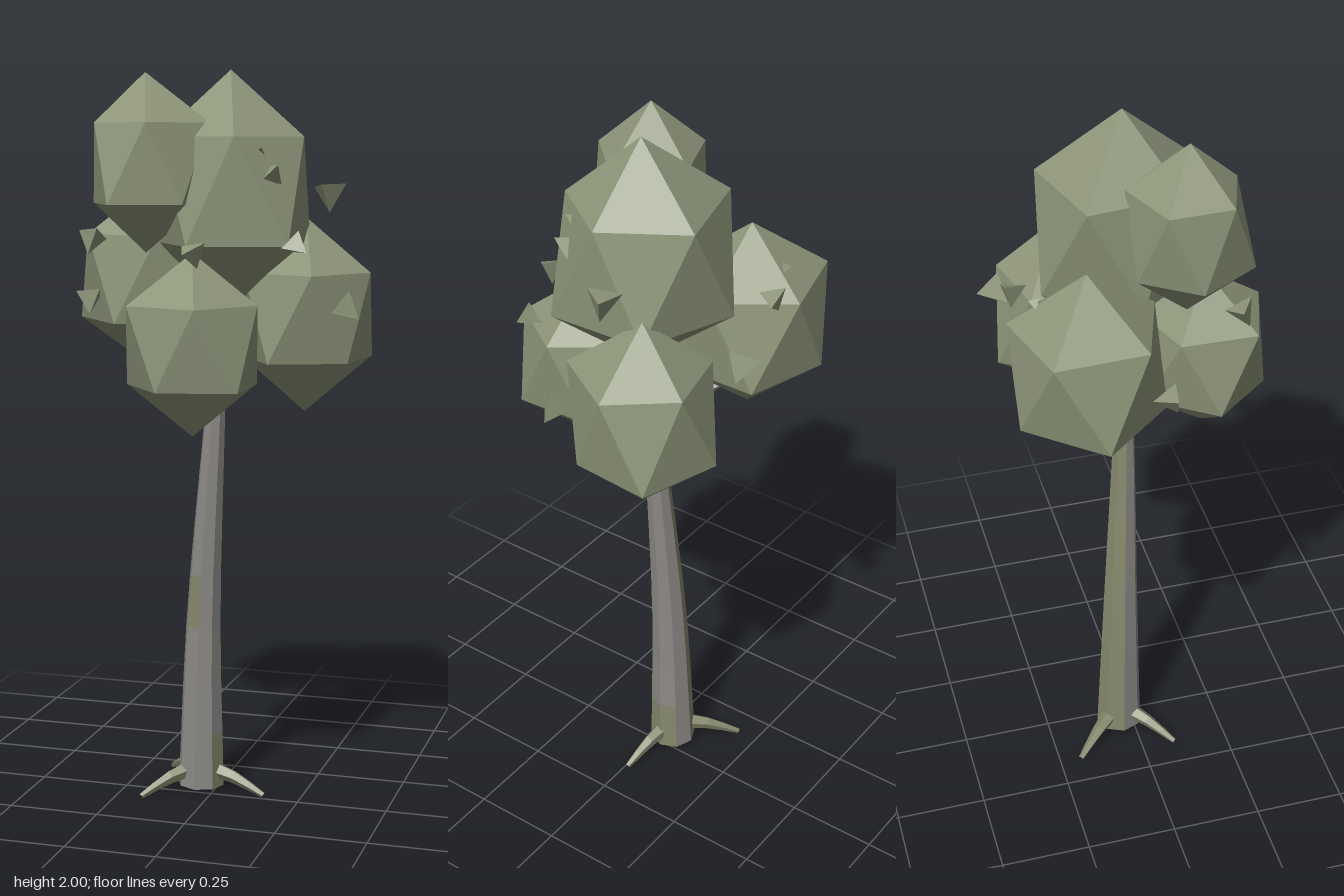
import * as THREE from 'three';
import { ConvexGeometry } from 'three/addons/geometries/ConvexGeometry.js';

const material = (name, color) => {
  const m = new THREE.MeshStandardMaterial({ color });
  m.name = name;
  return m;
};
const V = (x, y, z) => new THREE.Vector3(x, y, z);

// Faceted tube along a path, tapering from r0 to r1
function limb(points, r0, r1, segments, sides) {
  const curve = new THREE.CatmullRomCurve3(points.map(p => V(...p)));
  const tube = new THREE.TubeGeometry(curve, segments, 1, sides);
  const pos = tube.attributes.position;
  const v = V(0, 0, 0);
  for (let i = 0; i < pos.count; i++) {
    const t = Math.floor(i / (sides + 1)) / segments;
    const c = curve.getPointAt(t);
    v.fromBufferAttribute(pos, i).sub(c).multiplyScalar(r0 + (r1 - r0) * t).add(c);
    pos.setXYZ(i, v.x, v.y, v.z);
  }
  const flat = tube.toNonIndexed();
  flat.computeVertexNormals();
  return flat;
}

// Twelve-cornered leaf clump: apex, five-point upper ring, five-point lower ring, base
function clumpGeometry(h, upper, lower) {
  const points = [V(0, h, 0), V(0, -h, 0)];
  for (let i = 0; i < 5; i++) {
    const a = i * Math.PI * 0.4, b = a + Math.PI * 0.2;
    points.push(V(Math.cos(a) * upper[i], h * 0.447, Math.sin(a) * upper[i]));
    points.push(V(Math.cos(b) * lower[i], -h * 0.447, Math.sin(b) * lower[i]));
  }
  return new ConvexGeometry(points);
}

export function createModel() {
  const tree = new THREE.Group();
  tree.name = 'tree';
  const bark = material('bark grey', 0x8c8985);
  const moss = material('moss', 0x85876c);
  const foliage = material('foliage green', 0x8c9478);

  const add = (name, geometry, mat) => {
    const mesh = new THREE.Mesh(geometry, mat);
    mesh.name = name;
    tree.add(mesh);
    return mesh;
  };

  // Trunk, with mossy faces on its shaded back and a patch at the foot
  const trunk = limb([[-0.04, 0.02, -0.04], [-0.03, 0.5, -0.03], [0.007, 1.05, -0.01], [0.04, 1.55, 0]],
    0.066, 0.012, 10, 8);
  const p = trunk.attributes.position, n = trunk.attributes.normal;
  for (let i = 0; i < p.count; i += 6) {
    const back = n.getX(i) < -0.2 && n.getZ(i) < -0.2;
    const foot = n.getX(i) > 0.8 && p.getY(i) < 0.1;
    const patch = n.getZ(i) > 0.5 && n.getX(i) < 0 && p.getY(i) > 0.45 && p.getY(i) < 0.6;
    trunk.addGroup(i, 6, back || foot || patch ? 1 : 0);
  }
  add('trunk', trunk, [bark, moss]);
  const sole = add('trunkBase', new THREE.CircleGeometry(0.066, 8), bark);
  sole.rotation.x = Math.PI / 2;
  sole.position.set(-0.04, 0.02, -0.04);

  // Roots
  for (const [x, z] of [[-0.175, 0.095], [0.15, -0.01], [-0.17, -0.19]]) {
    const mid = [(x - 0.04) / 2, 0.052, (z - 0.04) / 2];
    add('root', limb([[-0.04, 0.07, -0.04], mid, [x, 0.01, z]], 0.028, 0.008, 4, 5), moss);
  }

  // Branches reaching into the clumps
  const branches = [
    [[0.01, 1.1, -0.01], [-0.08, 1.21, -0.07], [-0.2, 1.26, -0.16]],
    [[0.01, 1.18, -0.01], [0.09, 1.24, -0.07], [0.22, 1.28, -0.13]],
    [[0.01, 1.14, 0], [0.01, 1.2, 0.08], [0.01, 1.28, 0.2]],
    [[0.03, 1.35, 0], [-0.05, 1.5, 0.05], [-0.14, 1.68, 0.11]],
    [[0.035, 1.5, 0], [0.045, 1.6, 0], [0.055, 1.7, 0]],
  ];
  for (const path of branches) add('branch', limb(path, 0.016, 0.009, 4, 5), bark);

  // Leaf clumps: name, centre, half height, ring radii
  const clumps = [
    ['topClump', [0.055, 1.685, 0], 0.315, [0.2, 0.2, 0.2, 0.235, 0.22], [0.24, 0.21, 0.21, 0.245, 0.23]],
    ['upperFrontClump', [-0.145, 1.757, 0.115], 0.235, [0.175, 0.142, 0.14, 0.147, 0.158], [0.16, 0.169, 0.146, 0.15, 0.16]],
    ['lowerFrontClump', [0.012, 1.29, 0.21], 0.24, [0.175, 0.18, 0.18, 0.175, 0.175], [0.19, 0.167, 0.18, 0.18, 0.18]],
    ['leftClump', [0.23, 1.345, -0.13], 0.265, [0.18, 0.2, 0.18, 0.185, 0.165], [0.175, 0.19, 0.18, 0.195, 0.2]],
    ['rightBackClump', [-0.205, 1.44, -0.16], 0.268, [0.2, 0.2, 0.2, 0.215, 0.2], [0.21, 0.2, 0.225, 0.2, 0.21]],
  ];
  for (const [name, centre, h, upper, lower] of clumps) {
    add(name, clumpGeometry(h, upper, lower), foliage).position.set(...centre);
  }

  // Loose leaf chips: position, size, turn
  const chips = [
    [-0.335, 1.39, 0.02, 0.046, 0.4], [-0.255, 1.565, 0.225, 0.046, 1.2],
    [-0.065, 1.6, -0.32, 0.042, 2.1], [0.1, 1.5, -0.335, 0.052, 2.9],
    [0.305, 1.68, -0.065, 0.055, 3.7], [0.375, 1.38, 0.04, 0.05, 4.4],
    [0.28, 1.55, 0.185, 0.04, 5.2], [0.2, 1.73, 0.125, 0.038, 0.9],
    [0.17, 1.79, 0.125, 0.02, 1.7], [0.04, 1.535, 0.31, 0.044, 2.5],
    [-0.18, 1.63, -0.285, 0.018, 3.3],
  ];
  for (const [x, y, z, size, turn] of chips) {
    const chip = add('leafChip', new THREE.TetrahedronGeometry(size), foliage);
    chip.position.set(x, y, z);
    chip.rotation.set(turn, turn * 1.7, turn * 0.6);
  }
  return tree;
}
